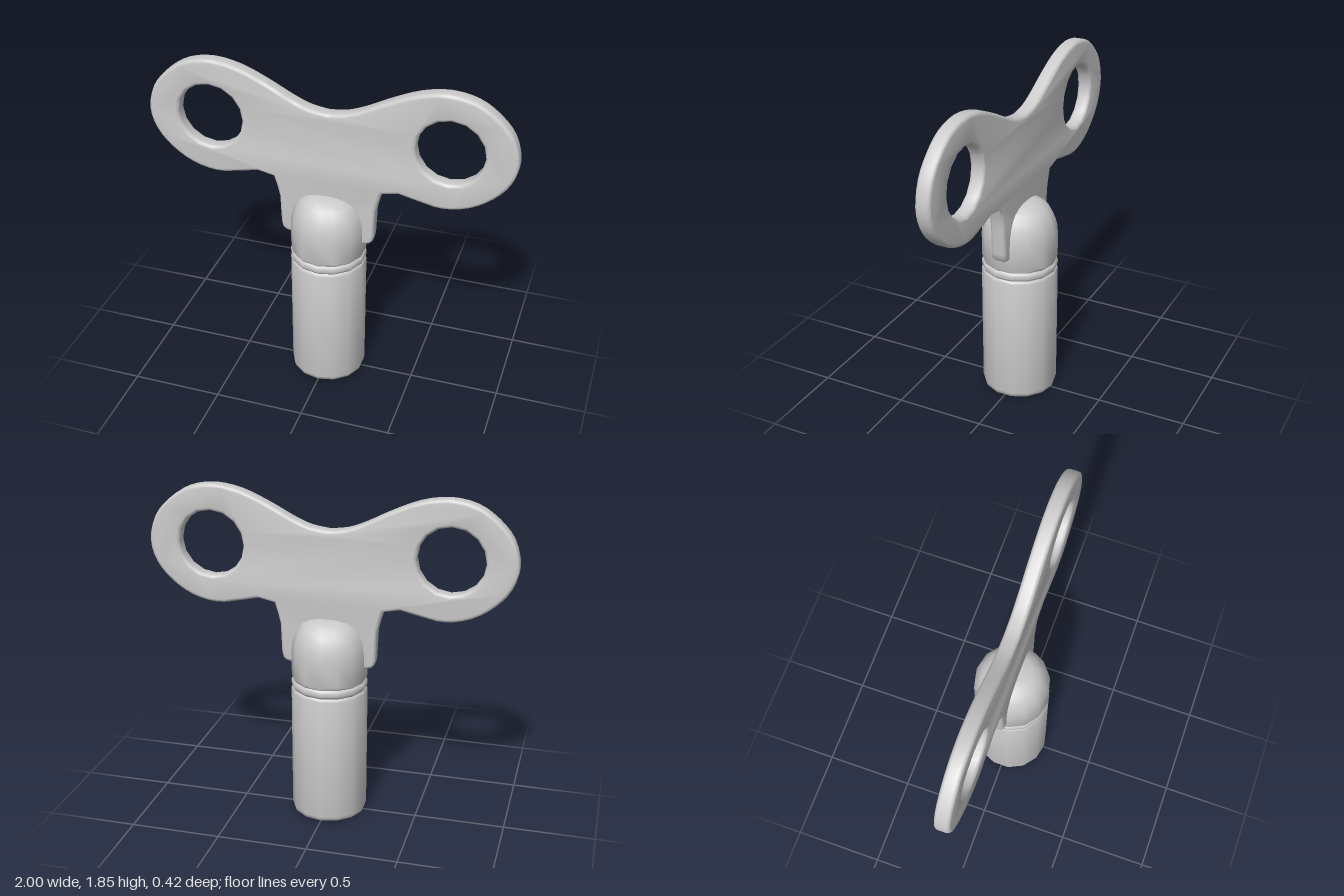
import * as THREE from 'three';
import { toCreasedNormals } from 'three/addons/utils/BufferGeometryUtils.js';

const v = (p) => new THREE.Vector2(p[0], p[1]);

// Round shaft with a ring near the top and a domed end
function shaftGeometry() {
  const profile = [
    [0, 0], [0.19, 0], [0.204, 0.008], [0.21, 0.03],
    [0.21, 0.735], [0.207, 0.745], [0.2, 0.752], [0.207, 0.759], [0.21, 0.768],
    [0.21, 0.785], [0.207, 0.794], [0.2, 0.801], [0.206, 0.81], [0.208, 0.82],
    [0.208, 0.95], [0.204, 1.0], [0.192, 1.045], [0.174, 1.085],
    [0.148, 1.118], [0.11, 1.14], [0.06, 1.15], [0, 1.152],
  ].map(v);
  return toCreasedNormals(new THREE.LatheGeometry(profile, 14), 0.85);
}

// Flat butterfly-shaped grip with two finger holes and two legs
function gripGeometry() {
  const lobe = new THREE.SplineCurve([
    [0, 1.64], [0.1, 1.655], [0.2, 1.695], [0.33, 1.762], [0.48, 1.825], [0.63, 1.85],
    [0.77, 1.825], [0.88, 1.755], [0.965, 1.655], [1, 1.52], [0.97, 1.4], [0.89, 1.3],
    [0.77, 1.222], [0.63, 1.19], [0.5, 1.21], [0.39, 1.235],
  ].map(v)).getPoints(45);
  const leg = [
    [0.3, 1.217], [0.282, 1.16], [0.268, 1.1], [0.262, 0.94],
    [0.255, 0.905], [0.238, 0.888], [0.205, 0.88], [0.15, 0.88],
  ].map(v);
  const half = [...lobe, ...leg];
  const mirrored = half.slice(1).reverse().map((p) => new THREE.Vector2(-p.x, p.y));
  const shape = new THREE.Shape([...half, ...mirrored]);

  for (const side of [-1, 1]) {
    const hole = new THREE.Path();
    hole.absarc(side * 0.65, 1.523, 0.182, 0, Math.PI * 2, false);
    shape.holes.push(new THREE.Path(hole.getSpacedPoints(16).slice(0, 16)));
  }

  const bevel = 0.018;
  const geometry = new THREE.ExtrudeGeometry(shape, {
    depth: 0.082 - 2 * bevel,
    bevelThickness: bevel,
    bevelSize: bevel,
    bevelOffset: -bevel,
    bevelSegments: 3,
  });
  geometry.translate(0, 0, -0.041 + bevel);
  return toCreasedNormals(geometry, 0.8);
}

export function createModel() {
  const group = new THREE.Group();
  group.name = 'windUpKey';
  const material = new THREE.MeshStandardMaterial({ color: 0xcccccc });
  const add = (name, geometry) => {
    const mesh = new THREE.Mesh(geometry, material);
    mesh.name = name;
    group.add(mesh);
  };
  add('shaft', shaftGeometry());
  add('grip', gripGeometry());
  return group;
}
